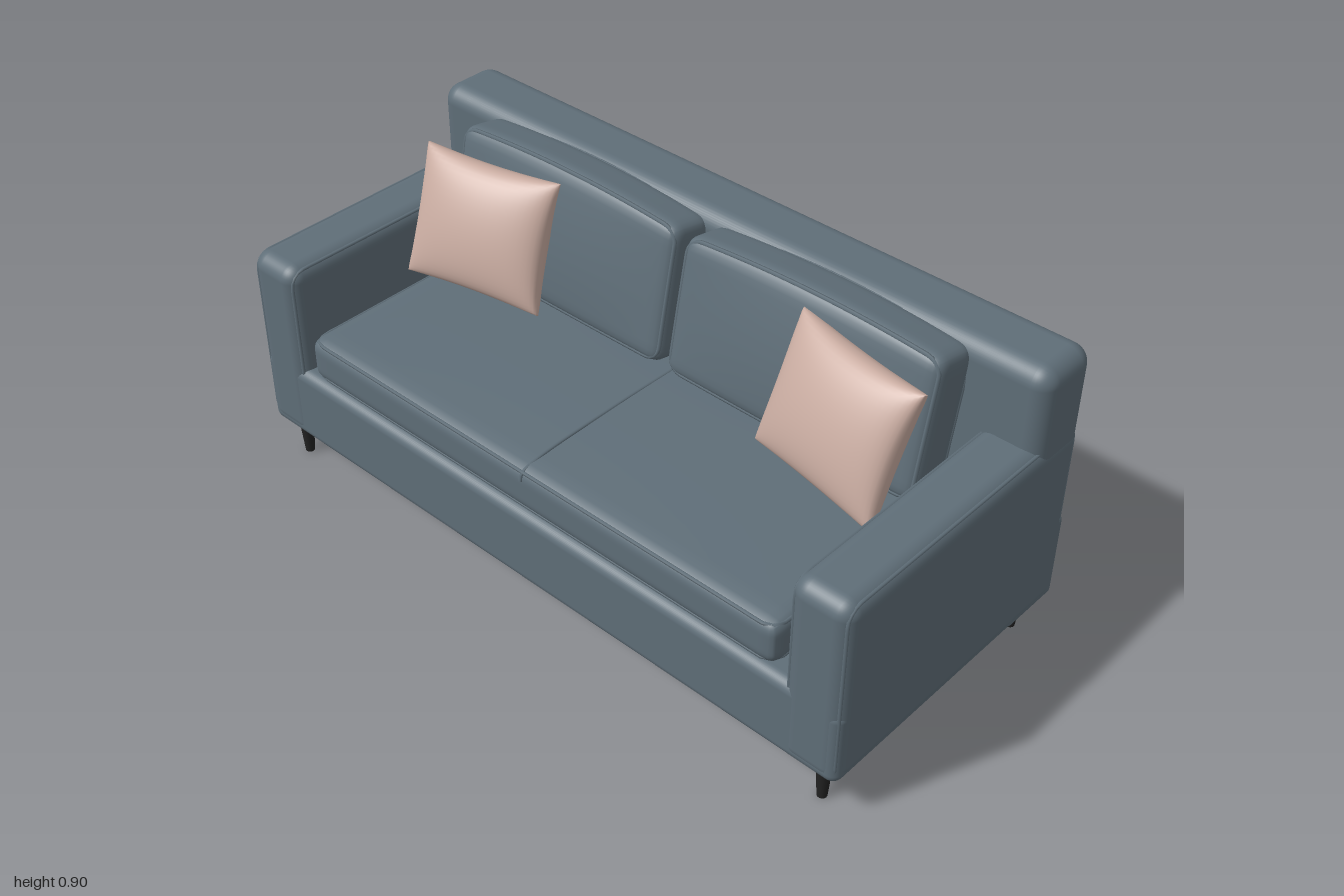
import * as THREE from 'three';
import { RoundedBoxGeometry } from 'three/addons/geometries/RoundedBoxGeometry.js';
import { mergeVertices } from 'three/addons/utils/BufferGeometryUtils.js';

const named = (mesh, name, x = 0, y = 0, z = 0) => {
  mesh.name = name;
  mesh.position.set(x, y, z);
  return mesh;
};

// Move every vertex of a box by a rule and give it smooth normals
function shaped(geometry, rule) {
  geometry.deleteAttribute('uv');
  geometry.deleteAttribute('normal');
  const g = mergeVertices(geometry, 1e-5);
  const pos = g.attributes.position;
  const p = new THREE.Vector3();
  for (let i = 0; i < pos.count; i++) {
    rule(p.fromBufferAttribute(pos, i));
    pos.setXYZ(i, p.x, p.y, p.z);
  }
  g.computeVertexNormals();
  return g;
}

// Soft padded block: rounded edges plus an optional extra rule
function cushionGeometry(w, h, d, r, puff) {
  const half = new THREE.Vector3(w / 2, h / 2, d / 2);
  const inner = half.clone().subScalar(r);
  const core = new THREE.Vector3();
  return shaped(new THREE.BoxGeometry(2, 2, 2, 28, 20, 14), (p) => {
    for (const a of ['x', 'y', 'z']) p[a] = Math.sin((p[a] * Math.PI) / 2) * half[a];
    core.copy(p).clamp(inner.clone().negate(), inner);
    p.sub(core).normalize().multiplyScalar(core.equals(p) ? 0 : r).add(core);
    puff(p);
  });
}

// Square pillow with pinched corners and thin edges
function pillowGeometry(w, h, t) {
  return shaped(new THREE.BoxGeometry(2, 2, 2, 24, 24, 1), (p) => {
    const u = Math.sin((p.x * Math.PI) / 2), v = Math.sin((p.y * Math.PI) / 2);
    const full = Math.max(0, (1 - u * u) * (1 - v * v));
    p.set(
      u * (w / 2) * (1 - 0.06 * (1 - v * v)),
      v * (h / 2) * (1 - 0.06 * (1 - u * u)),
      Math.sign(p.z) * (0.004 + (t / 2) * Math.pow(full, 0.42))
    );
  });
}

// Closed piping around a rounded rectangle; place() maps (a, b) to space
function pipingGeometry(w, h, r, place, radius = 0.006) {
  const x = w / 2, y = h / 2;
  const s = new THREE.Shape();
  s.moveTo(-x + r, -y).lineTo(x - r, -y).absarc(x - r, -y + r, r, -Math.PI / 2, 0);
  s.lineTo(x, y - r).absarc(x - r, y - r, r, 0, Math.PI / 2);
  s.lineTo(-x + r, y).absarc(-x + r, y - r, r, Math.PI / 2, Math.PI);
  s.lineTo(-x, -y + r).absarc(-x + r, -y + r, r, Math.PI, Math.PI * 1.5);
  const points = s.getSpacedPoints(120).slice(0, -1).map((q) => place(q.x, q.y));
  return new THREE.TubeGeometry(new THREE.CatmullRomCurve3(points, true), 160, radius, 6, true);
}

export function createModel() {
  const fabric = new THREE.MeshStandardMaterial({ color: 0x5f6e78 });
  fabric.name = 'slate fabric';
  const blush = new THREE.MeshStandardMaterial({ color: 0xc9aca1 });
  blush.name = 'blush fabric';
  const black = new THREE.MeshStandardMaterial({ color: 0x222222 });
  black.name = 'black wood';

  const sofa = new THREE.Group();
  sofa.name = 'sofa';
  const V = (x, y, z) => new THREE.Vector3(x, y, z);
  const block = (name, w, h, d, r, x, y, z) =>
    sofa.add(named(new THREE.Mesh(new RoundedBoxGeometry(w, h, d, 5, r), fabric), name, x, y, z));

  // Frame: base, rear rail and backrest
  block('base', 1.994, 0.23, 0.874, 0.03, 0, 0.229, 0.001);
  block('rearRail', 1.99, 0.262, 0.2, 0.02, 0, 0.245, -0.342);
  block('backrest', 1.997, 0.54, 0.193, 0.05, 0, 0.615, -0.3485);

  // Seat cushion with piping and a centre seam
  const seat = named(new THREE.Group(), 'seatCushion', 0, 0.413, 0.1);
  const seatPuff = (p) => {
    const u = p.x / 0.8, v = p.z / 0.33;
    if (p.y > 0) p.y += 0.008 * Math.max(0, (1 - u * u) * (1 - v * v));
    return p;
  };
  seat.add(named(new THREE.Mesh(cushionGeometry(1.6, 0.128, 0.66, 0.035, seatPuff), fabric), 'seatPad'));
  for (const y of [-0.052, 0.052]) {
    const g = pipingGeometry(1.582, 0.642, 0.035, (a, b) => V(a, y, b), 0.005);
    seat.add(named(new THREE.Mesh(g, fabric), 'seatPiping'));
  }
  const seam = new THREE.CatmullRomCurve3([V(0, 0.064, -0.3), V(0, 0.071, 0), V(0, 0.064, 0.28), V(0, 0.05, 0.325), V(0, 0.03, 0.33)]);
  seat.add(named(new THREE.Mesh(new THREE.TubeGeometry(seam, 40, 0.005, 6), fabric), 'seatSeam'));
  sofa.add(seat);

  // Shared shapes for the mirrored parts
  const crown = (p) => {
    const u = p.x / 0.39, v = p.y / 0.2;
    const fall = Math.max(0, 1 - u * u);
    if (p.z > 0) p.z += 0.018 * fall * Math.max(0, 1 - v * v);
    if (p.y > 0) p.y += 0.022 * fall * v;
    return p;
  };
  const backPad = cushionGeometry(0.775, 0.385, 0.145, 0.035, crown);
  const pillow = pillowGeometry(0.42, 0.36, 0.14);
  const leg = new THREE.CylinderGeometry(0.021, 0.013, 0.118, 20);
  const support = new THREE.BoxGeometry(0.027, 0.12, 0.006);

  for (const s of [1, -1]) {
    const side = s > 0 ? 'left' : 'right';

    // Arm with piping along both long edges
    block(side + 'Arm', 0.17, 0.55, 0.88, 0.045, s * 0.915, 0.39, 0);
    for (const x of [0.986, 0.844]) {
      const g = pipingGeometry(0.854, 0.524, 0.04, (a, b) => V(s * x, 0.39 + b, a), 0.005);
      sofa.add(named(new THREE.Mesh(g, fabric), side + 'ArmPiping'));
    }

    // Leaning back cushion
    const back = named(new THREE.Group(), side + 'BackCushion', s * 0.4, 0.683, -0.175);
    back.rotation.x = -0.19;
    back.add(named(new THREE.Mesh(backPad, fabric), side + 'BackPad'));
    for (const z of [-0.06, 0.06]) {
      const g = pipingGeometry(0.757, 0.367, 0.04, (a, b) => crown(V(a, b, z)));
      back.add(named(new THREE.Mesh(g, fabric), side + 'BackPiping'));
    }
    sofa.add(back);

    // Throw pillow resting in the corner
    const throwPillow = named(new THREE.Mesh(pillow, blush), side + 'Pillow', s * 0.595, 0.695, -0.025);
    throwPillow.rotation.set(-0.37, s * -0.2, 0, 'YXZ');
    sofa.add(throwPillow);

    // Tapered corner legs and a flat middle support
    for (const z of [0.383, -0.38])
      sofa.add(named(new THREE.Mesh(leg, black), side + (z > 0 ? 'FrontLeg' : 'RearLeg'), s * 0.927, 0.059, z));
    sofa.add(named(new THREE.Mesh(support, fabric), side + 'Support', s * 0.733, 0.06, 0.105));
  }
  return sofa;
}
